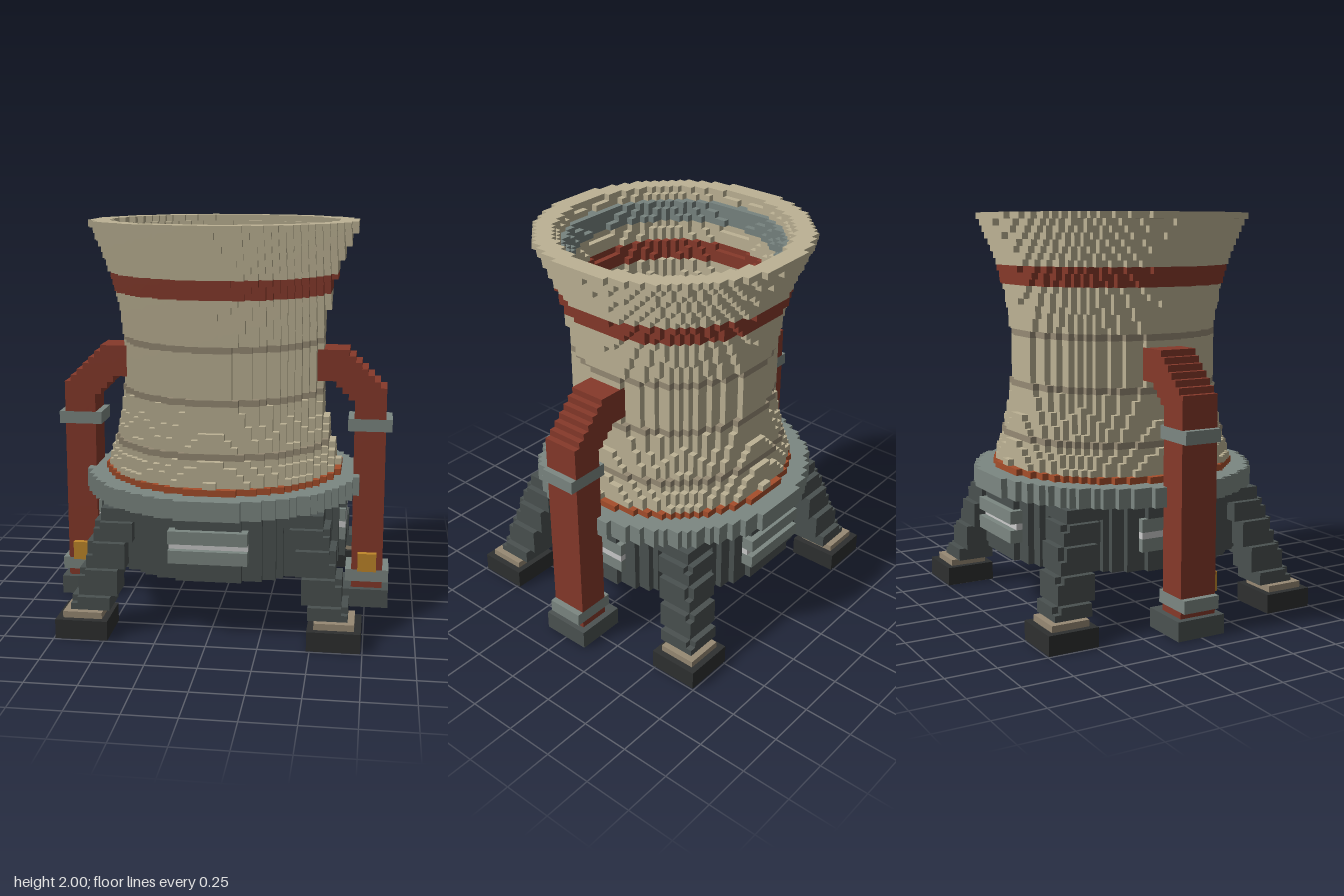
import * as THREE from 'three';

// The model is made of small cubes, 62 layers tall.
const U = 2 / 62;
const COLORS = {
  towerWall: 0xbcb294, towerSeam: 0x968a74, redBand: 0x86392a, rimLining: 0x77837f,
  orangeSeal: 0xa64e2b, baseRing: 0x7c8782, baseDrum: 0x4a5150, sidePanel: 0x7c8782,
  panelLight: 0xffffff, strut: 0x4a5150, footPad: 0x2e3030, footPlate: 0x988a74,
  pipe: 0x86392a, pipeCollar: 0x7c8782, pipePad: 0x4b5251, valveBox: 0xc0872a,
};

// Flared, waisted tower radius by height
const towerRadius = (y) => 15.7 + (y - 40) ** 2 * (y > 40 ? 0.0115 : 0.0105);

function segmentDistance(px, py, [ax, ay], [bx, by]) {
  const dx = bx - ax, dy = by - ay;
  const t = Math.min(1, Math.max(0, ((px - ax) * dx + (py - ay) * dy) / (dx * dx + dy * dy)));
  return Math.hypot(px - ax - t * dx, py - ay - t * dy);
}
const PIPE_PATH = [[23.5, 5.6], [23.5, 34.5], [18.5, 39.3], [12.5, 39.3]];

function inPipe(x, y, z) {
  if (y < 3) return false;
  if (y < 6) return x > 21 && x < 26 && z < 3;
  if (x < 12 || z > (x < 15 ? 2 : 3)) return false;
  return PIPE_PATH.slice(1).some((p, i) => segmentDistance(x, y, PIPE_PATH[i], p) <= 2.6);
}

const within = (v, a, b) => v > a && v < b;

// Part name at a cube centre; x and z are mirrored, so only their sizes matter
function partAt(sx, y, sz) {
  const x = Math.abs(sx), z = Math.abs(sz), r = Math.hypot(x, z);

  // side pipes with pads, collars and a valve box in front
  if (y < 3 && within(x, 19, 27) && z < 4) return 'pipePad';
  if (within(x, 20, 27) && z < 3 && (within(y, 4, 6) || within(y, 29, 31))) return 'pipeCollar';
  if (within(x, 22, 25) && within(sz, 3, 4) && within(y, 6, 9)) return 'valveBox';
  if (inPipe(x, y, z)) return 'pipe';

  // corner feet
  if (y < 3 && within(x, 15, 23) && within(z, 15, 23)) return 'footPad';
  if (within(y, 3, 4) && within(x, 16, 22) && within(z, 16, 22)) return 'footPlate';

  // panels on four sides of the drum
  if (within(y, 12, 17)) {
    const lit = within(y, 14, 15);
    if (x < 6 && within(z, 18, lit ? 20 : 21)) return lit ? 'panelLight' : 'sidePanel';
    if (z < 6 && within(x, 18, 20)) return lit ? 'panelLight' : 'sidePanel';
  }

  // drum and its top ring
  if (within(y, 9, 19) && within(r, 15, 20.1)) return 'baseDrum';
  if (within(y, 19, 22) && within(r, 15, 22.1)) return 'baseRing';

  // leaning struts between feet and drum
  if (within(y, 4, 19)) {
    const c = 18 - (y - 4.5) * 0.27, dx = Math.abs(x - c), dz = Math.abs(z - c);
    if (r > 15 && dx < 3 && dz < 3 && dx + dz < 5.2) return 'strut';
  }

  // hollow tower with coloured bands
  if (y > 22) {
    const outer = towerRadius(y), row = Math.floor(y);
    if (within(y, 57, 60) && within(r, outer - 3.6, outer - 2.2)) return 'rimLining';
    if (!within(r, outer - 3, outer)) return null;
    if (row === 22) return 'orangeSeal';
    if (within(y, 51, 54)) return 'redBand';
    return [27, 35, 43].includes(row) ? 'towerSeam' : 'towerWall';
  }
  return null;
}

export function createModel() {
  const model = new THREE.Group();
  const cells = new Map();
  const key = (x, y, z) => (x + 40) * 10000 + (y + 1) * 100 + z + 40;
  for (let x = -28; x < 28; x++)
    for (let y = 0; y < 62; y++)
      for (let z = -28; z < 28; z++) {
        const part = partAt(x + 0.5, y + 0.5, z + 0.5);
        if (part) cells.set(key(x, y, z), { x, y, z, part });
      }

  // Collect the exposed cube faces of each part
  const faces = {};
  for (const { x, y, z, part } of cells.values()) {
    const out = (faces[part] ??= { position: [], normal: [] });
    for (let axis = 0; axis < 3; axis++)
      for (const side of [-1, 1]) {
        const n = [0, 0, 0];
        n[axis] = side;
        if (cells.has(key(x + n[0], y + n[1], z + n[2]))) continue;
        const corner = (a, b) => {
          const p = [x, y, z];
          if (side > 0) p[axis] += 1;
          p[(axis + 1) % 3] += a;
          p[(axis + 2) % 3] += b;
          return p.map((v) => v * U);
        };
        const quad = [corner(0, 0), corner(1, 0), corner(1, 1), corner(0, 1)];
        if (side < 0) quad.reverse();
        for (const i of [0, 1, 2, 0, 2, 3]) {
          out.position.push(...quad[i]);
          out.normal.push(...n);
        }
      }
  }

  // One mesh per part
  for (const [name, data] of Object.entries(faces)) {
    const geometry = new THREE.BufferGeometry();
    for (const attribute of ['position', 'normal'])
      geometry.setAttribute(attribute, new THREE.Float32BufferAttribute(data[attribute], 3));
    const mesh = new THREE.Mesh(geometry, new THREE.MeshStandardMaterial({ color: COLORS[name] }));
    mesh.name = name;
    model.add(mesh);
  }
  return model;
}
